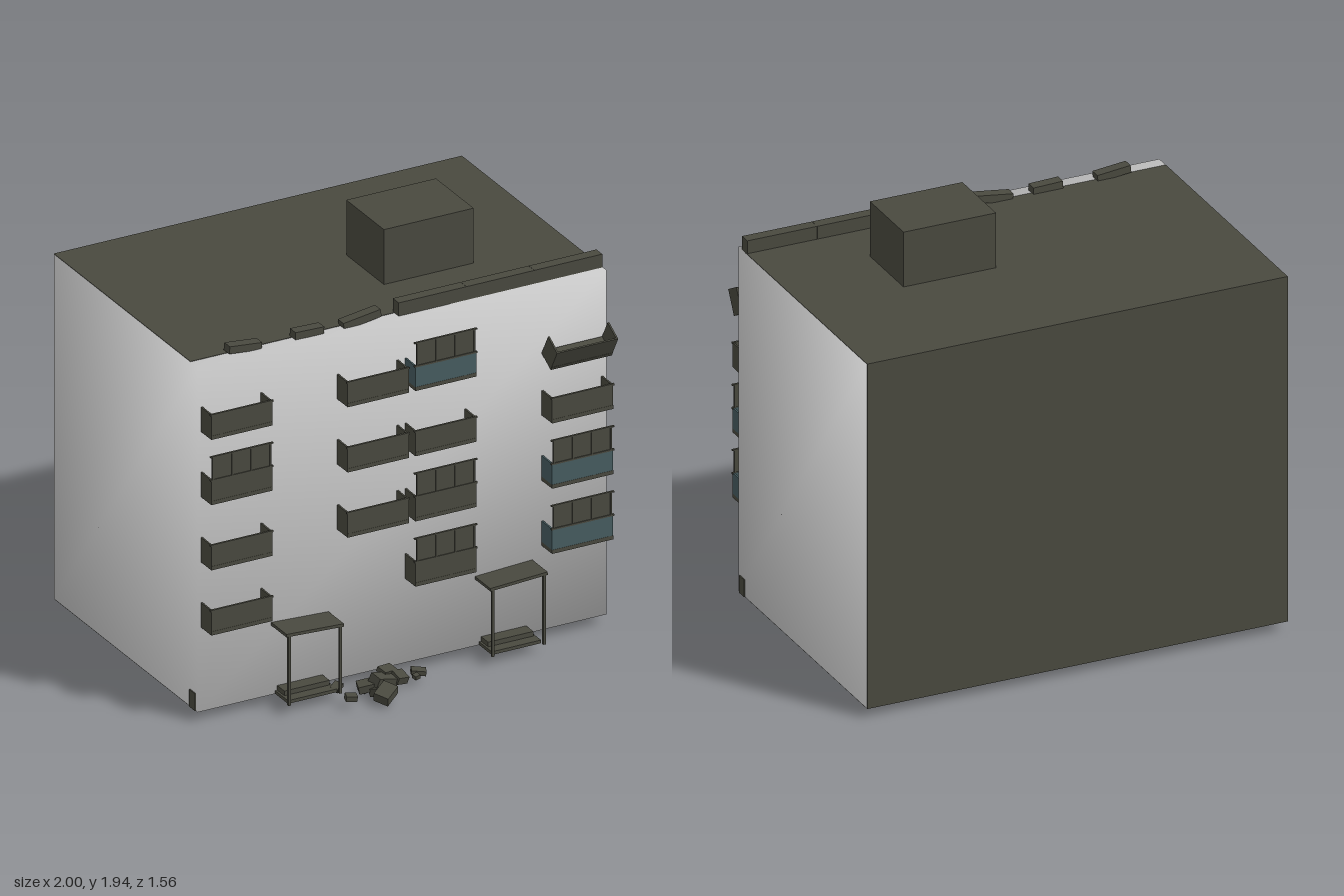
import * as THREE from 'three';
import { mergeVertices } from 'three/addons/utils/BufferGeometryUtils.js';

const concrete = new THREE.MeshStandardMaterial({ color: 0xd2d2d2 });
concrete.name = 'pale concrete';
const slate = new THREE.MeshStandardMaterial({ color: 0x49493f });
slate.name = 'dark olive';
const teal = new THREE.MeshStandardMaterial({ color: 0x465c60 });
teal.name = 'teal panel';

// Box given by its minimum and maximum corners
function block(parent, name, mat, [x0, y0, z0], [x1, y1, z1]) {
  const mesh = new THREE.Mesh(new THREE.BoxGeometry(x1 - x0, y1 - y0, z1 - z0), mat);
  mesh.position.set((x0 + x1) / 2, (y0 + y1) / 2, (z0 + z1) / 2);
  mesh.name = name;
  parent.add(mesh);
  return mesh;
}

// Box given by centre, size and rotation
function chunk(parent, name, pos, size, rot) {
  const mesh = new THREE.Mesh(new THREE.BoxGeometry(...size), slate);
  mesh.position.set(...pos);
  mesh.rotation.set(...rot);
  mesh.name = name;
  parent.add(mesh);
}

const W = 0.298, D = 0.093, H = 0.117, T = 0.008;

// Open-topped balcony; local origin at the bottom centre of its front face
function balcony(glazed, panelMat, railed = true) {
  const g = new THREE.Group();
  g.name = 'balcony';
  const h = W / 2;
  block(g, 'balconyFloor', slate, [-h, 0, -D], [h, 0.018, 0]);
  block(g, 'frontPanel', panelMat, [-h, 0.018, -T], [h, H, -0.001]);
  for (const s of [-1, 1]) {
    const a = s * h, b = s * (h - T);
    block(g, 'sidePanel', panelMat, [Math.min(a, b), 0.018, -D], [Math.max(a, b), H, -T]);
  }
  if (railed) block(g, 'handrail', slate, [-h - 0.004, H - 0.005, -T], [h + 0.004, H + 0.003, 0.002]);
  if (glazed) {
    const top = H + 0.112;
    block(g, 'glazing', slate, [-h + 0.006, H, -0.005], [h - 0.006, top, -0.002]);
    block(g, 'glazingHead', slate, [-h - 0.004, top - 0.006, -T], [h + 0.004, top, 0.002]);
    for (let i = 0; i <= 3; i++) {
      const x = -h + 0.01 + i * (W - 0.02) / 3;
      block(g, 'mullion', slate, [x - 0.004, H, -T], [x + 0.004, top, 0.001]);
    }
  }
  return g;
}

// Entrance porch with a sagging canopy, two posts and steps
function porch() {
  const g = new THREE.Group();
  g.name = 'porch';
  chunk(g, 'canopy', [0, 0.372, 0.563], [0.28, 0.014, 0.14], [0, 0, 0.05]);
  for (const x of [-0.123, 0.127]) {
    block(g, 'post', slate, [x - 0.006, 0.043, 0.618], [x + 0.006, 0.37, 0.63]);
  }
  block(g, 'lowerStep', slate, [-0.12, 0.043, 0.49], [0.12, 0.058, 0.61]);
  block(g, 'upperStep', slate, [-0.11, 0.058, 0.49], [0.11, 0.08, 0.56]);
  return g;
}

export function createModel() {
  const model = new THREE.Group();
  model.name = 'apartmentBlock';

  // Main walls, with normals blended across the corners
  let shell = new THREE.BoxGeometry(1.99, 1.632, 1.272);
  shell.deleteAttribute('normal');
  shell.deleteAttribute('uv');
  shell = mergeVertices(shell);
  shell.computeVertexNormals();
  const walls = new THREE.Mesh(shell, concrete);
  walls.name = 'walls';
  walls.position.set(0, 0.859, -0.139);
  model.add(walls);

  // Dark roof, back and underside
  block(model, 'roofDeck', slate, [-0.994, 1.672, -0.776], [0.994, 1.677, 0.43]);
  block(model, 'backWall', slate, [-0.994, 0.041, -0.778], [0.994, 1.677, -0.773]);
  block(model, 'underside', slate, [-0.994, 0.041, -0.776], [0.994, 0.046, 0.43]);
  for (const s of [-1, 1]) {
    block(model, 'cornerPlinth', slate, [s * 0.99 - 0.01, 0.043, 0.43], [s * 0.99 + 0.01, 0.125, 0.48]);
  }

  // Roof house and intact parapet
  block(model, 'roofHouse', slate, [0.093, 1.675, -0.165], [0.53, 1.937, 0.168]);
  for (let i = 0; i < 3; i++) {
    block(model, 'parapet', slate, [i * 0.331, 1.675, 0.415], [i * 0.331 + 0.33, 1.738, 0.467]);
  }
  // Broken parapet pieces
  chunk(model, 'parapetFragment', [-0.742, 1.694, 0.437], [0.158, 0.034, 0.05], [0, 0, -0.1]);
  chunk(model, 'parapetFragment', [-0.43, 1.692, 0.437], [0.14, 0.034, 0.05], [0, 0, -0.03]);
  chunk(model, 'parapetFragment', [-0.173, 1.695, 0.437], [0.183, 0.036, 0.05], [0, 0, 0.14]);

  // Balconies by column: p plain, g glazed, t glazed with teal panels, - none
  const columns = [[-0.831, 'ppgp'], [-0.167, '-ppp'], [0.163, 'ggpt'], [0.829, 'ttp-']];
  for (const [x, kinds] of columns) {
    [...kinds].forEach((kind, level) => {
      if (kind === '-') return;
      const b = balcony(kind !== 'p', kind === 't' ? teal : slate);
      b.position.set(x, 0.442 + level * 0.309, 0.59);
      model.add(b);
    });
  }
  // Balcony tipping off the wall
  const broken = balcony(false, slate, false);
  broken.name = 'brokenBalcony';
  broken.position.set(0.829, 1.308, 0.577);
  broken.rotation.x = 0.51;
  model.add(broken);

  // Mirrored porches
  const right = porch();
  right.position.x = 0.495;
  model.add(right);
  const left = porch();
  left.position.x = -0.498;
  left.rotation.y = 0;
  left.children[0].rotation.z = -0.05;
  model.add(left);

  // Rubble: centre, size, rotation
  const rubble = [
    [[-0.205, 0.045, 0.725], [0.09, 0.045, 0.07], [0.25, 0.6, 0.15]],
    [[-0.16, 0.055, 0.625], [0.12, 0.045, 0.06], [0.2, 0.2, -0.35]],
    [[-0.24, 0.04, 0.61], [0.07, 0.035, 0.06], [0.1, -0.3, 0.2]],
    [[-0.19, 0.03, 0.64], [0.08, 0.04, 0.06], [-0.3, 0.5, 0.3]],
    [[-0.08, 0.05, 0.62], [0.055, 0.035, 0.06], [0.3, 0.1, -0.2]],
    [[-0.12, 0.075, 0.58], [0.08, 0.022, 0.05], [0.3, 0.3, -0.25]],
    [[0.02, 0.047, 0.605], [0.065, 0.022, 0.04], [0.1, -0.4, -0.1]],
    [[-0.015, 0.05, 0.65], [0.025, 0.02, 0.025], [0.2, 0.2, 0.1]],
    [[-0.355, 0.047, 0.69], [0.05, 0.025, 0.035], [0.1, -0.25, -0.1]],
    [[-0.365, 0.052, 0.58], [0.05, 0.02, 0.04], [0.2, 0.6, 0.1]],
    [[-0.23, 0.017, 0.59], [0.04, 0.025, 0.03], [0.2, 0.3, 0.1]],
  ];
  rubble.forEach((r) => chunk(model, 'rubble', ...r));

  return model;
}
